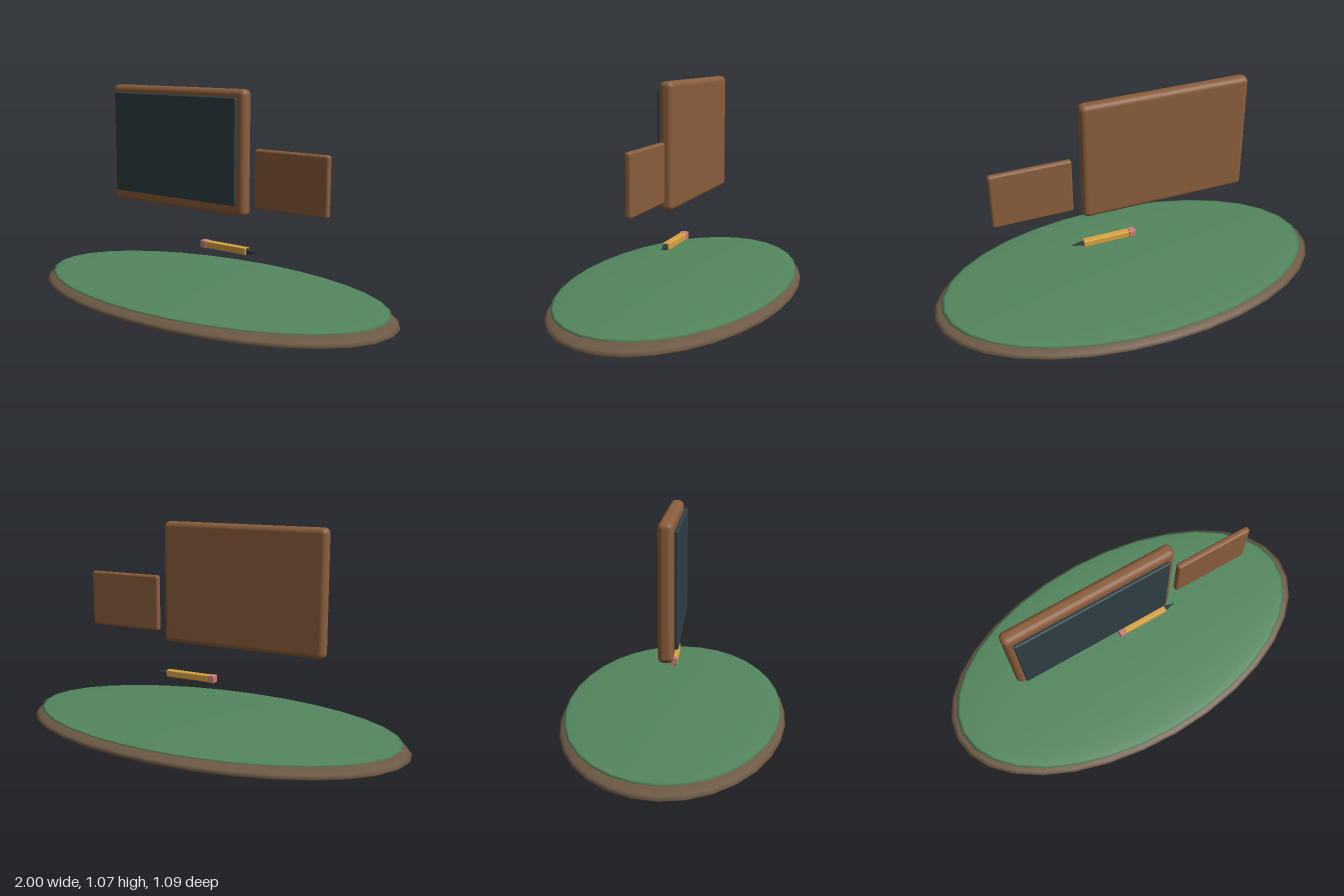
import * as THREE from 'three';
import { RoundedBoxGeometry } from 'three/addons/geometries/RoundedBoxGeometry.js';

const material = (color) => new THREE.MeshStandardMaterial({ color });

export function createModel() {
  const group = new THREE.Group();
  const wood = material(0x8b5e3c);

  const add = (name, geometry, mat, x, y, z) => {
    const mesh = new THREE.Mesh(geometry, mat);
    mesh.name = name;
    mesh.position.set(x, y, z);
    group.add(mesh);
    return mesh;
  };

  // Rounded slab given by its extents on each axis
  const slab = (name, [x0, x1], [y0, y1], [z0, z1], radius, mat) =>
    add(name, new RoundedBoxGeometry(x1 - x0, y1 - y0, z1 - z0, 4, radius), mat,
      (x0 + x1) / 2, (y0 + y1) / 2, (z0 + z1) / 2);

  // Flattened sphere for the ground layers
  const disc = (name, rx, ry, rz, y, mat) =>
    add(name, new THREE.SphereGeometry(1, 32, 16).scale(rx, ry, rz), mat, 0, y, 0);

  // Ground: earth with a grass layer on top
  disc('earthBase', 1, 0.06, 0.545, 0.06, material(0x6e5a46));
  disc('grassTop', 0.96, 0.02, 0.523, 0.104, material(0x54875f));

  // Chalkboard: wooden frame with a dark panel floating in front of it
  slab('boardFrame', [-0.595, 0.24], [0.48, 1.073], [-0.033, 0.033], 0.026, wood);
  slab('boardPanel', [-0.559, 0.203], [0.534, 1.036], [0.036, 0.054], 0.007, material(0x2f4046));

  // Small side sign
  slab('sidePanel', [0.284, 0.676], [0.527, 0.804], [-0.016, 0.016], 0.012, wood);

  // Pencil lying along x
  const py = 0.316;
  slab('pencilEraser', [-0.03, 0.005], [py - 0.019, py + 0.019], [-0.019, 0.019], 0.005, material(0xc98078));
  slab('pencilBody', [0.003, 0.24], [py - 0.017, py + 0.017], [-0.017, 0.017], 0.005, material(0xd9a441));
  const tip = new THREE.ConeGeometry(0.017, 0.066, 6).rotateY(Math.PI / 2).rotateZ(-Math.PI / 2);
  add('pencilTip', tip, material(0x2f4046), 0.269, py, 0).scale.z = 0.8;

  return group;
}
